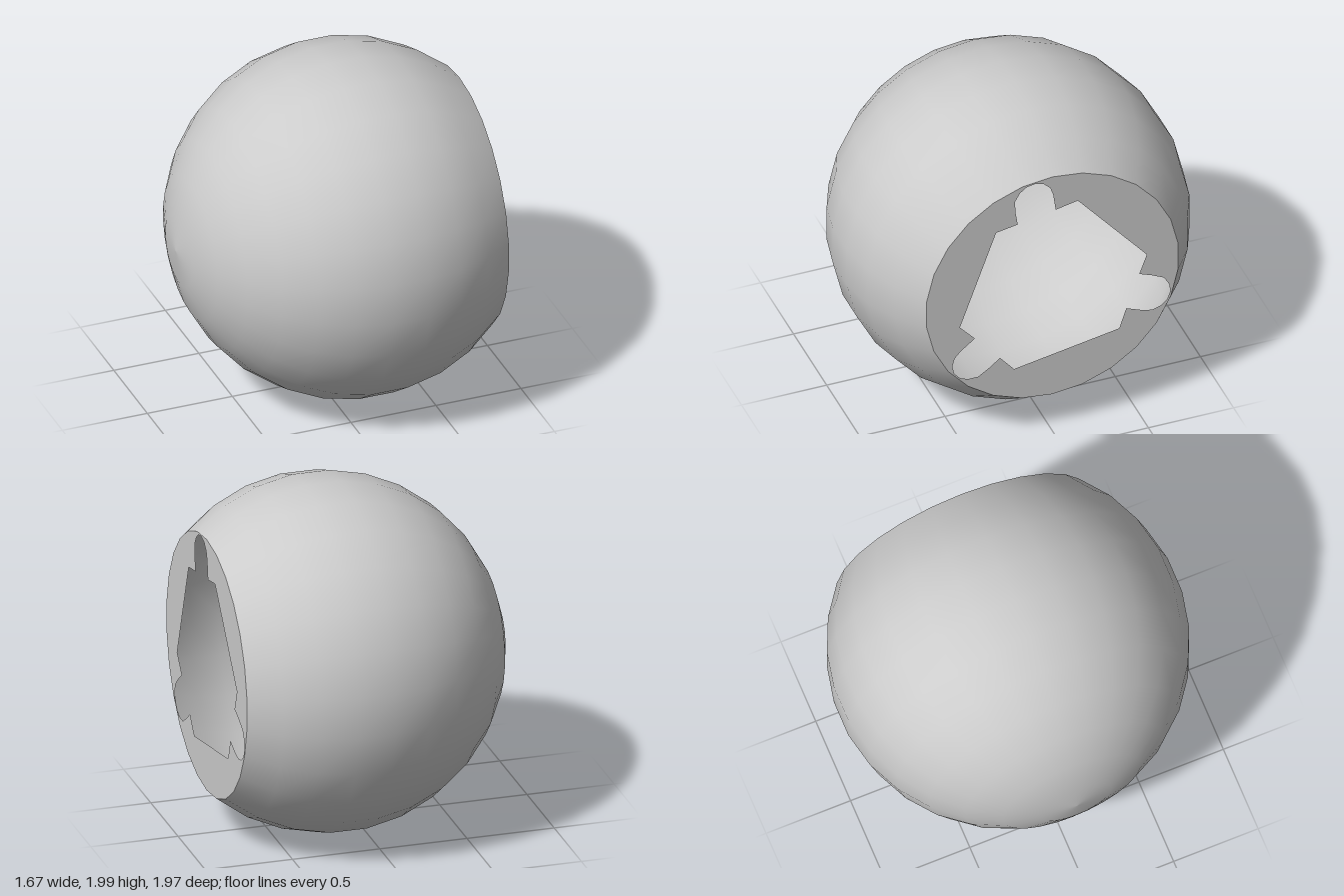
import * as THREE from 'three';

const SIDES = 26, BANDS = 11, CUT = THREE.MathUtils.degToRad(132);
const CENTRE_X = 0.166;

// One third of the opening: a round-ended notch between two shoulders
const NOTCH = [[-0.33, 0.45], [-0.203, 0.472], [-0.215, 0.55], [-0.22, 0.63], [-0.19, 0.682], [-0.15, 0.713],
  [-0.10, 0.722], [-0.05, 0.707], [-0.012, 0.67], [0.005, 0.62], [0.02, 0.513], [0.15, 0.54]];

export function createModel() {
  const group = new THREE.Group();
  const material = new THREE.MeshStandardMaterial({ color: 0xcccccc, side: THREE.DoubleSide });

  // Thin hollow ball, its axis along x, cut off flat at +x
  const profile = [];
  for (let i = 0; i <= BANDS; i++) {
    const a = CUT * i / BANDS;
    profile.push(new THREE.Vector2(Math.sin(a), -Math.cos(a)));
  }
  const ball = new THREE.Mesh(new THREE.LatheGeometry(profile, SIDES, Math.PI / 2), material);
  ball.geometry.rotateZ(-Math.PI / 2);
  ball.name = 'hollowBall';

  // Flat face closing the cut, with a three-notched opening
  const rim = [];
  for (let i = 0; i < SIDES; i++) {
    const a = Math.PI / 2 + i * 2 * Math.PI / SIDES;
    rim.push(new THREE.Vector2(Math.cos(a), Math.sin(a)).multiplyScalar(Math.sin(CUT)));
  }
  const opening = [];
  const origin = new THREE.Vector2();
  for (let k = 0; k < 3; k++) {
    for (const [u, v] of NOTCH) {
      opening.push(new THREE.Vector2(u, v).rotateAround(origin, -k * 2 * Math.PI / 3));
    }
  }
  const shape = new THREE.Shape(rim);
  shape.holes.push(new THREE.Path(opening));
  const face = new THREE.Mesh(new THREE.ShapeGeometry(shape), material);
  face.geometry.rotateY(Math.PI / 2);
  face.position.x = -Math.cos(CUT);
  face.name = 'notchedFace';

  group.add(ball, face);
  group.position.set(CENTRE_X, 1, 0);
  const model = new THREE.Group();
  model.add(group);
  group.name = 'cutBall';
  return model;
}
